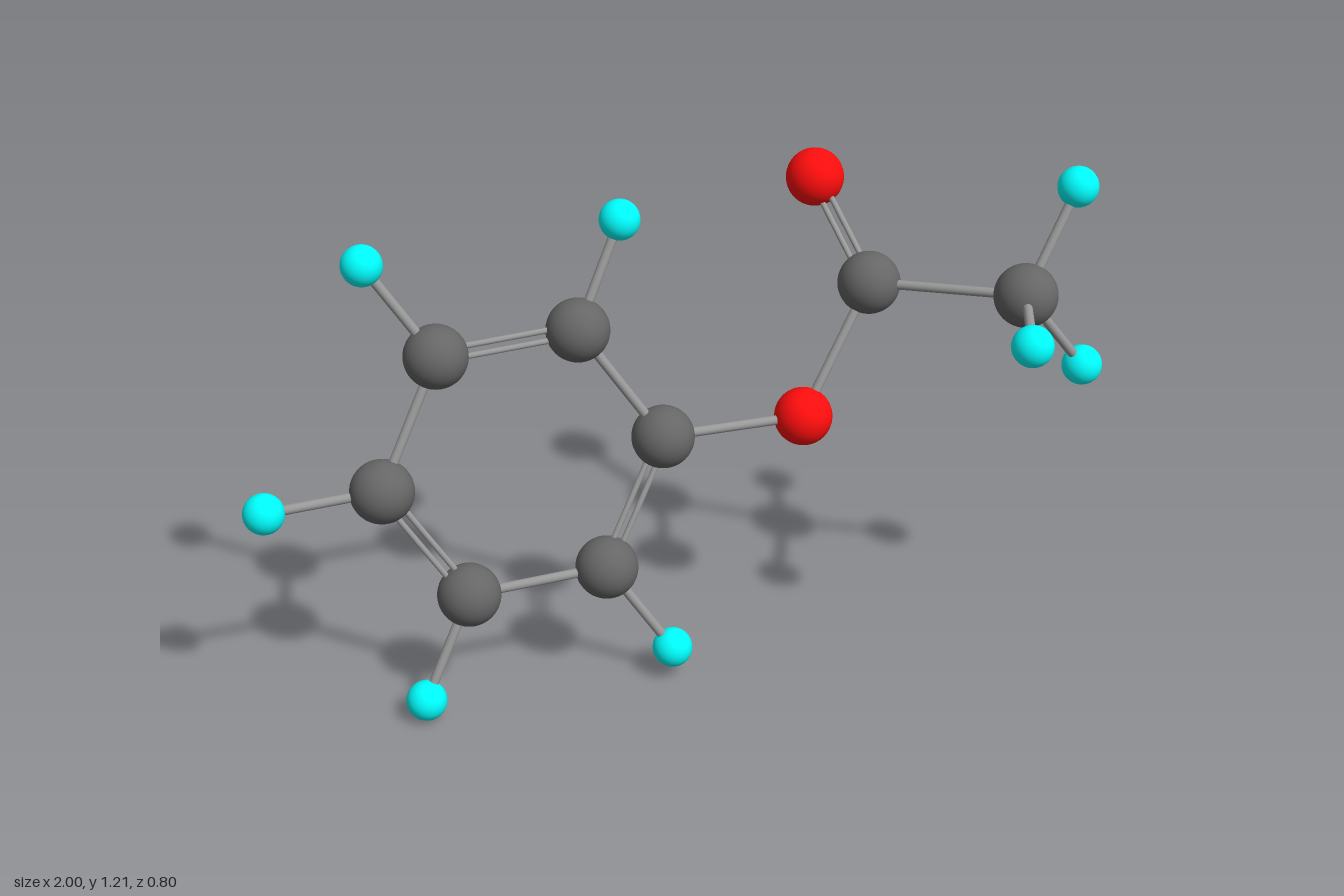
import * as THREE from 'three';

// Atom kinds: radius and colour
const KINDS = {
  carbon: { radius: 0.075, color: 0x666666 },
  oxygen: { radius: 0.07, color: 0xff0d0d },
  hydrogen: { radius: 0.048, color: 0x00ffff },
};

// Atom centres
const ATOMS = {
  ring1: ['carbon', -0.05, 0.597, 0.068],
  ring2: ['carbon', -0.245, 0.874, 0.066],
  ring3: ['carbon', -0.565, 0.856, 0.166],
  ring4: ['carbon', -0.693, 0.564, 0.268],
  ring5: ['carbon', -0.505, 0.29, 0.272],
  ring6: ['carbon', -0.185, 0.304, 0.174],
  bridge: ['oxygen', 0.286, 0.598, -0.031],
  carbonyl: ['carbon', 0.442, 0.897, -0.143],
  carbonylTip: ['oxygen', 0.32, 1.094, -0.328],
  methyl: ['carbon', 0.792, 0.931, 0.013],
  ringTip2: ['hydrogen', -0.147, 1.114, -0.015],
  ringTip3: ['hydrogen', -0.72, 1.079, 0.161],
  ringTip4: ['hydrogen', -0.953, 0.551, 0.346],
  ringTip5: ['hydrogen', -0.609, 0.05, 0.353],
  ringTip6: ['hydrogen', -0.03, 0.08, 0.176],
  methylTip1: ['hydrogen', 0.909, 1.167, -0.071],
  methylTip2: ['hydrogen', 0.768, 0.932, 0.289],
  methylTip3: ['hydrogen', 0.95, 0.716, -0.062],
};

const SINGLE_BONDS = [
  ['ring1', 'ring2'], ['ring3', 'ring4'], ['ring5', 'ring6'],
  ['ring1', 'bridge'], ['bridge', 'carbonyl'], ['carbonyl', 'methyl'],
  ...[2, 3, 4, 5, 6].map((i) => ['ring' + i, 'ringTip' + i]),
  ...[1, 2, 3].map((i) => ['methyl', 'methylTip' + i]),
];

// The third atom fixes the plane in which the two rods lie side by side
const DOUBLE_BONDS = [
  ['ring2', 'ring3', 'ring5'],
  ['ring4', 'ring5', 'ring1'],
  ['ring6', 'ring1', 'ring3'],
  ['carbonyl', 'carbonylTip', 'methyl'],
];

const centre = (key) => new THREE.Vector3(...ATOMS[key].slice(1));

// Round rod between two points
function rod(name, a, b, radius, material) {
  const dir = b.clone().sub(a);
  const mesh = new THREE.Mesh(
    new THREE.CylinderGeometry(radius, radius, dir.length(), 20), material);
  mesh.name = name;
  mesh.position.copy(a).add(b).multiplyScalar(0.5);
  mesh.quaternion.setFromUnitVectors(new THREE.Vector3(0, 1, 0), dir.normalize());
  return mesh;
}

export function createModel() {
  const model = new THREE.Group();
  model.name = 'ballAndStickMolecule';

  // Balls
  const atoms = new THREE.Group();
  atoms.name = 'atoms';
  const looks = {};
  for (const [kind, { radius, color }] of Object.entries(KINDS)) {
    looks[kind] = {
      geometry: new THREE.SphereGeometry(radius, 40, 28),
      material: new THREE.MeshStandardMaterial({ color }),
    };
  }
  for (const [key, [kind]] of Object.entries(ATOMS)) {
    const ball = new THREE.Mesh(looks[kind].geometry, looks[kind].material);
    ball.name = `${key} ${kind}`;
    ball.position.copy(centre(key));
    atoms.add(ball);
  }

  // Single sticks
  const bonds = new THREE.Group();
  bonds.name = 'bonds';
  const grey = new THREE.MeshStandardMaterial({ color: 0x999999 });
  for (const [a, b] of SINGLE_BONDS) {
    bonds.add(rod('singleBond', centre(a), centre(b), 0.0115, grey));
  }

  // Paired thin sticks
  for (const [a, b, guide] of DOUBLE_BONDS) {
    const p = centre(a);
    const q = centre(b);
    const dir = q.clone().sub(p).normalize();
    const side = centre(guide).sub(p);
    side.addScaledVector(dir, -side.dot(dir)).setLength(0.0125);
    const pair = new THREE.Group();
    pair.name = 'doubleBond';
    for (const s of [-1, 1]) {
      const shift = side.clone().multiplyScalar(s);
      pair.add(rod('thinRod', p.clone().add(shift), q.clone().add(shift), 0.007, grey));
    }
    bonds.add(pair);
  }

  model.add(atoms, bonds);
  return model;
}
